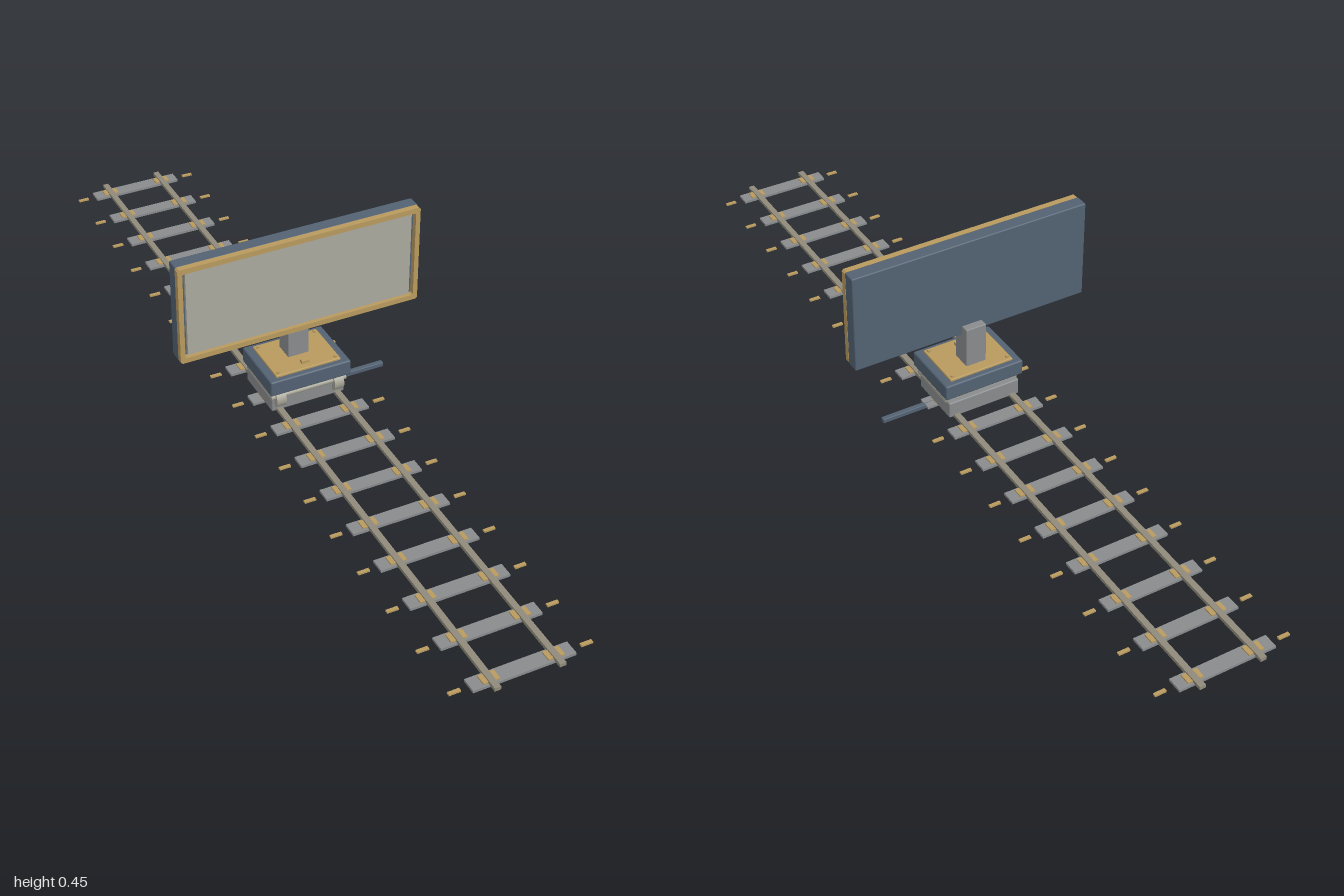
import * as THREE from 'three';
import { RoundedBoxGeometry } from 'three/addons/geometries/RoundedBoxGeometry.js';

const mat = (name, color) => {
  const m = new THREE.MeshStandardMaterial({ color });
  m.name = name;
  return m;
};

export function createModel() {
  const blue = mat('slate blue', 0x526172);
  const gold = mat('brass', 0xb89a5e);
  const gray = mat('steel gray', 0x888b8d);
  const cream = mat('pale metal', 0xa5a396);
  const panel = mat('screen gray', 0xa9a99f);
  const railMat = mat('rail metal', 0x8f8a7a);

  const model = new THREE.Group();
  model.name = 'railSignTrolley';

  const add = (parent, name, geo, material, x = 0, y = 0, z = 0) => {
    const m = new THREE.Mesh(geo, material);
    m.name = name;
    m.position.set(x, y, z);
    parent.add(m);
    return m;
  };
  // Box given by its limits on each axis
  const box = (parent, name, material, [x0, x1], [y0, y1], [z0, z1], bevel = 0) => {
    const s = [x1 - x0, y1 - y0, z1 - z0];
    const geo = bevel ? new RoundedBoxGeometry(...s, 2, bevel) : new THREE.BoxGeometry(...s);
    return add(parent, name, geo, material, (x0 + x1) / 2, (y0 + y1) / 2, (z0 + z1) / 2);
  };
  const group = (name) => {
    const g = new THREE.Group();
    g.name = name;
    model.add(g);
    return g;
  };
  const rodX = (r, length, sides = 24) => new THREE.CylinderGeometry(r, r, length, sides).rotateZ(Math.PI / 2);

  // Track: rails, sleepers, brass clips and loose side markers
  const track = group('track');
  for (const s of [-1, 1]) {
    box(track, 'rail', railMat, [s * 0.071 - 0.007, s * 0.071 + 0.007], [0.036, 0.044], [-1, 1]);
  }
  for (let i = 0; i < 17; i++) {
    const z = -0.966 + i * 0.12075;
    box(track, 'sleeper', gray, [-0.114, 0.112], [0.032, 0.038], [z - 0.017, z + 0.017]);
    for (const s of [-1, 1]) {
      box(track, 'railClip', gold, [s * 0.071 - 0.018, s * 0.071 + 0.018], [0.038, 0.041], [z - 0.012, z + 0.012]);
      box(track, 'sideMarker', gold, [s * 0.145 - 0.013, s * 0.145 + 0.013], [0.032, 0.036], [z - 0.004, z + 0.004]);
    }
  }

  // Trolley: lower carriage, front axle and rollers
  const trolley = group('trolley');
  box(trolley, 'carriage', gray, [-0.089, 0.089], [0.037, 0.077], [-0.073, 0.06], 0.003);
  box(trolley, 'carriageRim', cream, [-0.092, 0.092], [0.071, 0.083], [-0.06, 0.063], 0.003);
  for (const s of [-1, 1]) {
    add(trolley, 'roller', rodX(0.0205, 0.023), cream, s * 0.071, 0.069, 0.054);
  }
  add(trolley, 'axle', rodX(0.006, 0.184), cream, 0, 0.0765, 0.06);

  // Deck with brass top plate and bolts
  box(trolley, 'deck', blue, [-0.098, 0.098], [0.09, 0.128], [-0.075, 0.075], 0.004);
  box(trolley, 'deckPlate', gold, [-0.079, 0.079], [0.126, 0.133], [-0.062, 0.062], 0.002);
  box(trolley, 'frontTab', gold, [-0.009, 0.009], [0.132, 0.14], [0.035, 0.047]);
  for (const x of [-0.07, 0.07]) for (const z of [-0.052, 0.052]) {
    add(trolley, 'bolt', new THREE.CylinderGeometry(0.004, 0.004, 0.006, 12), gold, x, 0.134, z);
  }

  // Post, ground pin and side lever
  const mast = group('mast');
  box(mast, 'post', gray, [-0.025, 0.025], [0.075, 0.231], [-0.037, 0.01], 0.002);
  add(mast, 'groundPin', new THREE.CylinderGeometry(0.006, 0.006, 0.04, 16), cream, 0, 0.02, 0);
  box(mast, 'sideLever', blue, [-0.043, 0.218], [0.027, 0.038], [-0.006, 0.006], 0.0015);
  for (const x of [-0.042, 0.042]) {
    add(mast, 'leverCollar', rodX(0.0075, 0.003), blue, x, 0.0325, 0);
  }

  // Sign: casing, brass frame with opening, and pale screen
  const sign = group('sign');
  box(sign, 'signCasing', blue, [-0.287, 0.287], [0.209, 0.448], [-0.018, 0.014], 0.003);

  const rect = (Target, w, h, c) => {
    const p = new Target();
    p.moveTo(-w + c, -h);
    p.lineTo(w - c, -h); p.lineTo(w, -h + c);
    p.lineTo(w, h - c); p.lineTo(w - c, h);
    p.lineTo(-w + c, h); p.lineTo(-w, h - c);
    p.lineTo(-w, -h + c);
    p.closePath();
    return p;
  };
  const outline = rect(THREE.Shape, 0.287, 0.1195, 0.004);
  outline.holes.push(rect(THREE.Path, 0.276, 0.107, 0.003));
  add(sign, 'signFrame', new THREE.ExtrudeGeometry(outline, { depth: 0.014, bevelEnabled: false }),
    gold, 0, 0.3285, 0.013);
  box(sign, 'screen', panel, [-0.268, 0.268], [0.225, 0.432], [0.013, 0.022]);

  return model;
}
